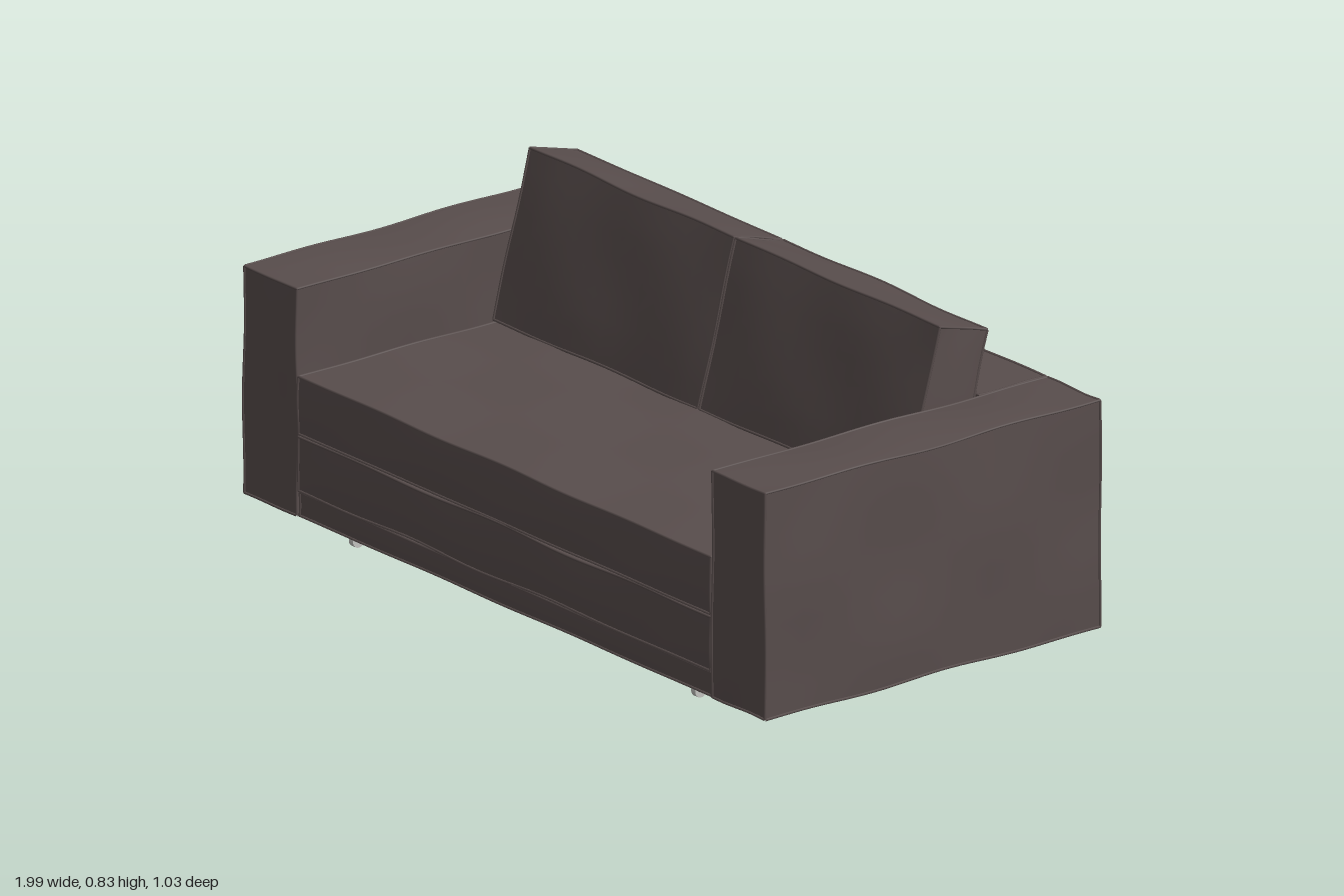
import * as THREE from 'three';
import { mergeGeometries } from 'three/addons/utils/BufferGeometryUtils.js';

const fabric = new THREE.MeshStandardMaterial({ color: 0x584d4c });
fabric.name = 'taupe fabric';
const metal = new THREE.MeshStandardMaterial({ color: 0xc4c4c0 });
metal.name = 'caster grey';

// Upholstered block: a subdivided box with puffed faces, gently wavy edges and piped seams.
function upholstered(name, [w, h, d], [x, y, z], { puff = 0.004, wave = 0.004, pipe = 0.0035, phase = 0 } = {}) {
  const half = [w / 2 - pipe, h / 2 - pipe, d / 2 - pipe];
  const soften = (p) => {
    const c = p.toArray();
    const n = c.map((v, i) => v / half[i]);
    const out = c.map((v, i) => {
      const j = (i + 1) % 3, k = (i + 2) % 3;
      const dome = (1 - n[j] ** 4) * (1 - n[k] ** 4);
      const ripple = Math.sin(c[j] * 13 + phase + i) * Math.cos(c[k] * 11 + phase * 2);
      return v + n[i] * (puff * dome + wave * ripple * (1 - n[j] ** 2 * n[k] ** 2));
    });
    return p.fromArray(out);
  };

  const seg = (s) => Math.max(4, Math.ceil(s / 0.06));
  const body = new THREE.BoxGeometry(...half.map((v) => v * 2), seg(w), seg(h), seg(d));
  const pos = body.attributes.position;
  const v = new THREE.Vector3();
  for (let i = 0; i < pos.count; i++) {
    soften(v.fromBufferAttribute(pos, i));
    pos.setXYZ(i, v.x, v.y, v.z);
  }
  body.computeVertexNormals();

  // Piping follows the softened edges
  const parts = [body];
  for (let axis = 0; axis < 3; axis++) {
    for (const a of [-1, 1]) for (const b of [-1, 1]) {
      const n = seg(half[axis] * 2);
      const pts = [];
      for (let i = 0; i <= n; i++) {
        const c = [0, 0, 0];
        c[axis] = half[axis] * (2 * i / n - 1);
        c[(axis + 1) % 3] = a * half[(axis + 1) % 3];
        c[(axis + 2) % 3] = b * half[(axis + 2) % 3];
        pts.push(soften(new THREE.Vector3(...c)));
      }
      parts.push(new THREE.TubeGeometry(new THREE.CatmullRomCurve3(pts), n * 2, pipe, 6));
    }
  }
  const mesh = new THREE.Mesh(mergeGeometries(parts), fabric);
  mesh.name = name;
  mesh.position.set(x, y, z);
  return mesh;
}

function caster(name, x) {
  const group = new THREE.Group();
  group.name = name;
  const add = (partName, geo, px, py) => {
    const m = new THREE.Mesh(geo, metal);
    m.name = partName;
    m.position.set(px, py, 0);
    group.add(m);
    return m;
  };
  add('stem', new THREE.CylinderGeometry(0.011, 0.009, 0.02, 12), 0, 0.056);
  for (const s of [-1, 1]) add('forkSide', new THREE.BoxGeometry(0.003, 0.034, 0.018), s * 0.0105, 0.033);
  add('forkTop', new THREE.BoxGeometry(0.024, 0.004, 0.02), 0, 0.049);
  add('wheel', new THREE.CylinderGeometry(0.018, 0.018, 0.016, 20), 0, 0.018).rotation.z = Math.PI / 2;
  group.position.set(x, 0, 0.435);
  return group;
}

export function createModel() {
  const sofa = new THREE.Group();
  sofa.name = 'sofa';

  // Arms and back
  for (const s of [-1, 1]) {
    sofa.add(upholstered(s > 0 ? 'leftArm' : 'rightArm', [0.206, 0.58, 1.024], [s * 0.889, 0.342, -0.003], { phase: s }));
  }
  sofa.add(upholstered('backFrame', [1.575, 0.58, 0.21], [0, 0.342, -0.409], { phase: 2 }));

  // Seat layers
  sofa.add(upholstered('seatCushion', [1.572, 0.152, 0.81], [0, 0.336, 0.104], { puff: 0.005, phase: 3 }));
  sofa.add(upholstered('lowerCushion', [1.572, 0.143, 0.81], [0, 0.188, 0.104], { puff: 0.005, phase: 5 }));

  // Shallow base: front rail with two panels set just above its lower edge
  sofa.add(upholstered('frontRail', [1.572, 0.066, 0.06], [0, 0.085, 0.475], { puff: 0.002, wave: 0.001 }));
  for (const s of [-1, 1]) {
    const panel = new THREE.Mesh(new THREE.BoxGeometry(0.75, 0.06, 0.752), fabric);
    panel.name = 'undersidePanel';
    panel.position.set(s * 0.379, 0.088, 0.073);
    sofa.add(panel);
  }

  // Leaning back cushions
  for (const s of [-1, 1]) {
    const cushion = upholstered(s > 0 ? 'leftBackCushion' : 'rightBackCushion',
      [0.782, 0.43, 0.156], [s * 0.391, 0.602, -0.21], { puff: 0.005, phase: 4 + s });
    cushion.rotation.x = -0.265;
    sofa.add(cushion);
  }

  // Front casters
  sofa.add(caster('leftCaster', 0.65), caster('rightCaster', -0.65));
  return sofa;
}
